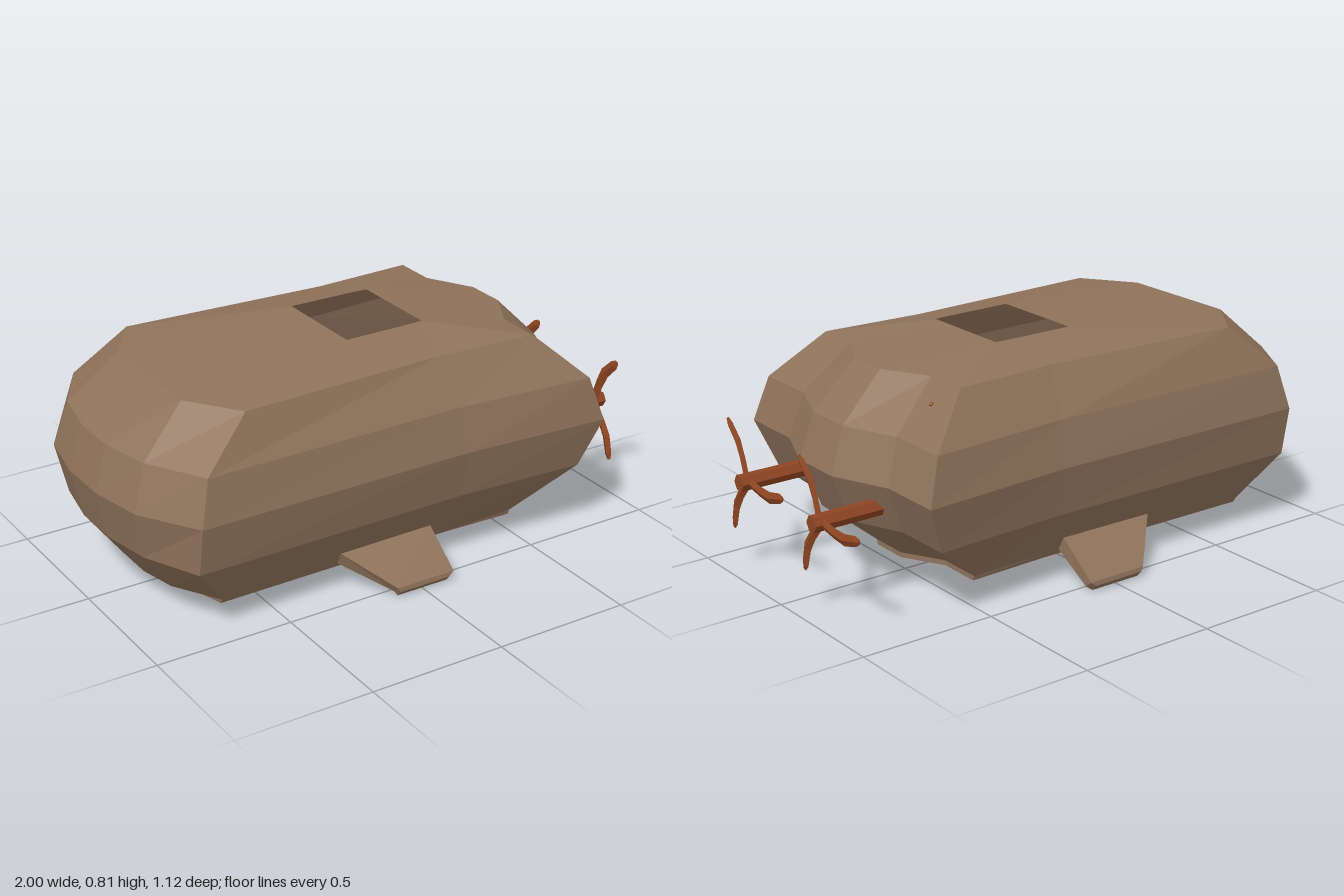
import * as THREE from 'three';

// Faceted skin through closed rings of [x, y, z]; rings run anticlockwise seen from the end.
function loft(rings, capStart = true, capEnd = true) {
  const pos = [];
  const tri = (a, b, c) => pos.push(...a, ...b, ...c);
  const n = rings[0].length;
  const centre = (r) => [0, 1, 2].map((k) => r.reduce((s, p) => s + p[k], 0) / n);
  for (let j = 0; j < rings.length - 1; j++) {
    for (let i = 0; i < n; i++) {
      const k = (i + 1) % n;
      const a = rings[j][i], b = rings[j][k], c = rings[j + 1][k], d = rings[j + 1][i];
      if (a !== b) tri(a, b, c);
      tri(a, c, d);
    }
  }
  const first = rings[0], last = rings[rings.length - 1];
  for (let i = 0; i < n; i++) {
    const k = (i + 1) % n;
    if (capStart) tri(centre(first), first[k], first[i]);
    if (capEnd) tri(centre(last), last[i], last[k]);
  }
  const g = new THREE.BufferGeometry();
  g.setAttribute('position', new THREE.Float32BufferAttribute(pos, 3));
  g.computeVertexNormals();
  return g;
}

// Full ring from its +z half, mirrored across the hull's centre line.
function mirroredRing(y, half) {
  const offset = 0.006;
  return [
    ...half.map(([x, z]) => [x, y, z + offset]),
    ...half.slice().reverse().map(([x, z]) => [x, y, -z + offset]),
  ];
}

export function createModel() {
  const model = new THREE.Group();
  const hullBrown = new THREE.MeshStandardMaterial({ color: 0x8f735b, flatShading: true, side: THREE.DoubleSide });
  hullBrown.name = 'hullBrown';
  const rust = new THREE.MeshStandardMaterial({ color: 0x8f4522, flatShading: true });
  rust.name = 'rust';

  const add = (parent, name, geometry, material) => {
    const mesh = new THREE.Mesh(geometry, material);
    mesh.name = name;
    parent.add(mesh);
    return mesh;
  };

  // Hull: plan outlines at each height, nose (-x) to stern (+x), ending at the open hatch
  const hullRings = [
    [0.08, [[-0.76, 0.07], [-0.75, 0.2], [-0.7, 0.38], [0.18, 0.37], [0.48, 0.38], [0.48, 0.22], [0.56, 0.07]]],
    [0.098, [[-0.83, 0.08], [-0.8, 0.22], [-0.7, 0.39], [0.18, 0.38], [0.48, 0.385], [0.48, 0.22], [0.56, 0.07]]],
    [0.272, [[-0.96, 0.09], [-0.925, 0.28], [-0.83, 0.485], [0.2, 0.475], [0.69, 0.5], [0.69, 0.28], [0.77, 0.09]]],
    [0.45, [[-1, 0.1], [-0.96, 0.305], [-0.83, 0.515], [0.2, 0.51], [0.76, 0.545], [0.76, 0.305], [0.845, 0.1]]],
    [0.61, [[-0.95, 0.09], [-0.91, 0.28], [-0.79, 0.485], [0.18, 0.475], [0.71, 0.515], [0.71, 0.285], [0.79, 0.09]]],
    [0.77, [[-0.742, 0.08], [-0.742, 0.23], [-0.61, 0.415], [0.16, 0.38], [0.54, 0.4], [0.54, 0.24], [0.63, 0.075]]],
    [0.812, [[-0.08, 0.08], [-0.08, 0.18], [-0.08, 0.18], [0.15, 0.178], [0.23, 0.175], [0.23, 0.175], [0.23, 0.07]]],
  ].map(([y, half]) => mirroredRing(y, half));
  add(model, 'hull', loft(hullRings, true, false), hullBrown);

  // Splayed fins below each flank
  for (const side of [1, -1]) {
    const section = (x0, x1, yLow, zLow, yHigh, zHigh) => {
      const ring = [
        [x0, yLow, side * zLow + 0.003], [x1, yLow, side * zLow + 0.003],
        [x1, yHigh, side * zHigh + 0.003], [x0, yHigh, side * zHigh + 0.003],
      ];
      return side > 0 ? ring : ring.reverse();
    };
    const rings = [
      section(-0.26, 0.12, 0.105, 0.375, 0.155, 0.405),
      section(-0.11, 0.12, 0.015, 0.53, 0.038, 0.557),
      section(-0.1, 0.1, 0, 0.54, 0.022, 0.56),
    ];
    add(model, side > 0 ? 'leftFin' : 'rightFin', loft(rings), hullBrown);
  }

  // Curved blade with a diamond section: [along, across, half width, half thickness]
  const bladeRings = [
    [0.015, 0, 0.02, 0.01],
    [0.08, -0.013, 0.019, 0.01],
    [0.14, -0.017, 0.021, 0.01],
    [0.205, 0, 0.019, 0.009],
    [0.228, 0.005, 0.009, 0.003],
  ].map(([x, y, w, t]) => [[x, y + w, 0], [x, y, t], [x, y - w, 0], [x, y, -t]]);
  const bladeGeometry = loft(bladeRings);

  // Twin propellers on six-sided shafts at the stern
  [0.247, -0.213].forEach((z, index) => {
    const propeller = new THREE.Group();
    propeller.name = index === 0 ? 'leftPropeller' : 'rightPropeller';
    propeller.position.set(0, 0.357, z);
    const shaft = add(propeller, 'shaft', new THREE.CylinderGeometry(0.03, 0.03, 0.27, 6), rust);
    shaft.rotation.z = -Math.PI / 2;
    shaft.position.x = 0.865;
    const rotor = new THREE.Group();
    rotor.name = 'rotor';
    rotor.position.x = 0.965;
    rotor.rotation.y = Math.PI / 2;
    for (let i = 0; i < 3; i++) {
      add(rotor, 'blade', bladeGeometry, rust).rotation.z = (i * Math.PI * 2) / 3;
    }
    propeller.add(rotor);
    model.add(propeller);
  });

  // Small stud on the stern
  add(model, 'sternStud', new THREE.IcosahedronGeometry(0.009, 0), rust).position.set(0.603, 0.71, -0.325);

  return model;
}
